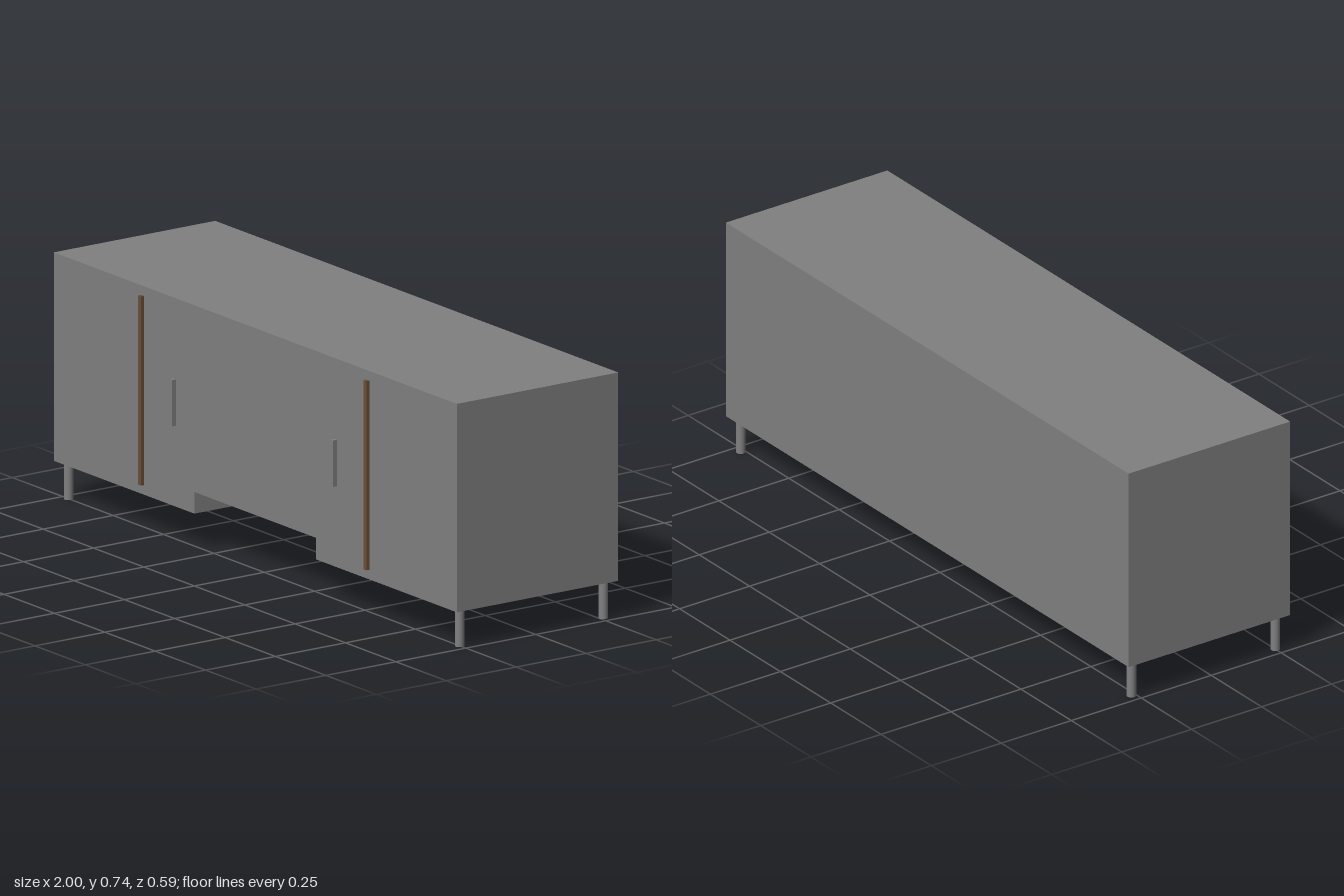
import * as THREE from 'three';
import { mergeGeometries } from 'three/addons/utils/BufferGeometryUtils.js';

const BOTTOM = 0.113, TOP = 0.741, BACK = -0.295, FRONT = 0.282;
const MID_Z = (BACK + FRONT) / 2, DEPTH = FRONT - BACK;
const NOTCH_X = 0.302, NOTCH_TOP = 0.178, NOTCH_BACK = MID_Z;

export function createModel() {
  const model = new THREE.Group();
  const grey = new THREE.MeshStandardMaterial({ color: 0x808080 });
  grey.name = 'grey';
  const brown = new THREE.MeshStandardMaterial({ color: 0x6a5038 });
  brown.name = 'brown';

  const add = (name, geometry, material, x = 0, y = 0, z = 0) => {
    const mesh = new THREE.Mesh(geometry, material);
    mesh.name = name;
    mesh.position.set(x, y, z);
    model.add(mesh);
  };

  // Rectangle turned to face a direction
  const panel = (w, h, rx, ry, x, y, z) =>
    new THREE.PlaneGeometry(w, h).rotateX(rx).rotateY(ry).translate(x, y, z);

  // Rectangle with the recess cut out of one edge
  const notched = (edge, far, notch) => new THREE.ShapeGeometry(new THREE.Shape([
    [-1, edge], [-NOTCH_X, edge], [-NOTCH_X, notch], [NOTCH_X, notch],
    [NOTCH_X, edge], [1, edge], [1, far], [-1, far],
  ].map(([x, y]) => new THREE.Vector2(x, y))));

  // Cabinet shell with a recess at the front of its underside
  const h = TOP - BOTTOM, midY = (TOP + BOTTOM) / 2;
  const notchH = NOTCH_TOP - BOTTOM, notchD = FRONT - NOTCH_BACK;
  const notchY = BOTTOM + notchH / 2, notchZ = NOTCH_BACK + notchD / 2;
  const q = Math.PI / 2;
  add('cabinet', mergeGeometries([
    notched(BOTTOM, TOP, NOTCH_TOP).translate(0, 0, FRONT),
    notched(FRONT, BACK, NOTCH_BACK).rotateX(q).translate(0, BOTTOM, 0),
    panel(2, h, 0, Math.PI, 0, midY, BACK),
    panel(2, DEPTH, -q, 0, 0, TOP, MID_Z),
    panel(DEPTH, h, 0, q, 1, midY, MID_Z),
    panel(DEPTH, h, 0, -q, -1, midY, MID_Z),
    // Recess ceiling, back and sides
    panel(2 * NOTCH_X, notchD, q, 0, 0, NOTCH_TOP, notchZ),
    panel(2 * NOTCH_X, notchH, 0, 0, 0, notchY, NOTCH_BACK),
    panel(notchD, notchH, 0, q, -NOTCH_X, notchY, notchZ),
    panel(notchD, notchH, 0, -q, NOTCH_X, notchY, notchZ),
  ]), grey);

  for (const [side, s] of [['left', 1], ['right', -1]]) {
    // Vertical trim and door handle
    add(`${side}Trim`, new THREE.BoxGeometry(0.014, 0.57, 0.011), brown, s * 0.559, 0.427, FRONT + 0.0055);
    add(`${side}Handle`, new THREE.BoxGeometry(0.012, 0.14, 0.014), grey, s * 0.399, 0.427, FRONT + 0.007);

    // Round legs
    for (const [end, e] of [['Front', 1], ['Back', -1]])
      add(`${side}${end}Leg`, new THREE.CylinderGeometry(0.014, 0.014, BOTTOM, 32), grey,
        s * 0.97, BOTTOM / 2, MID_Z + e * 0.257);
  }
  return model;
}
